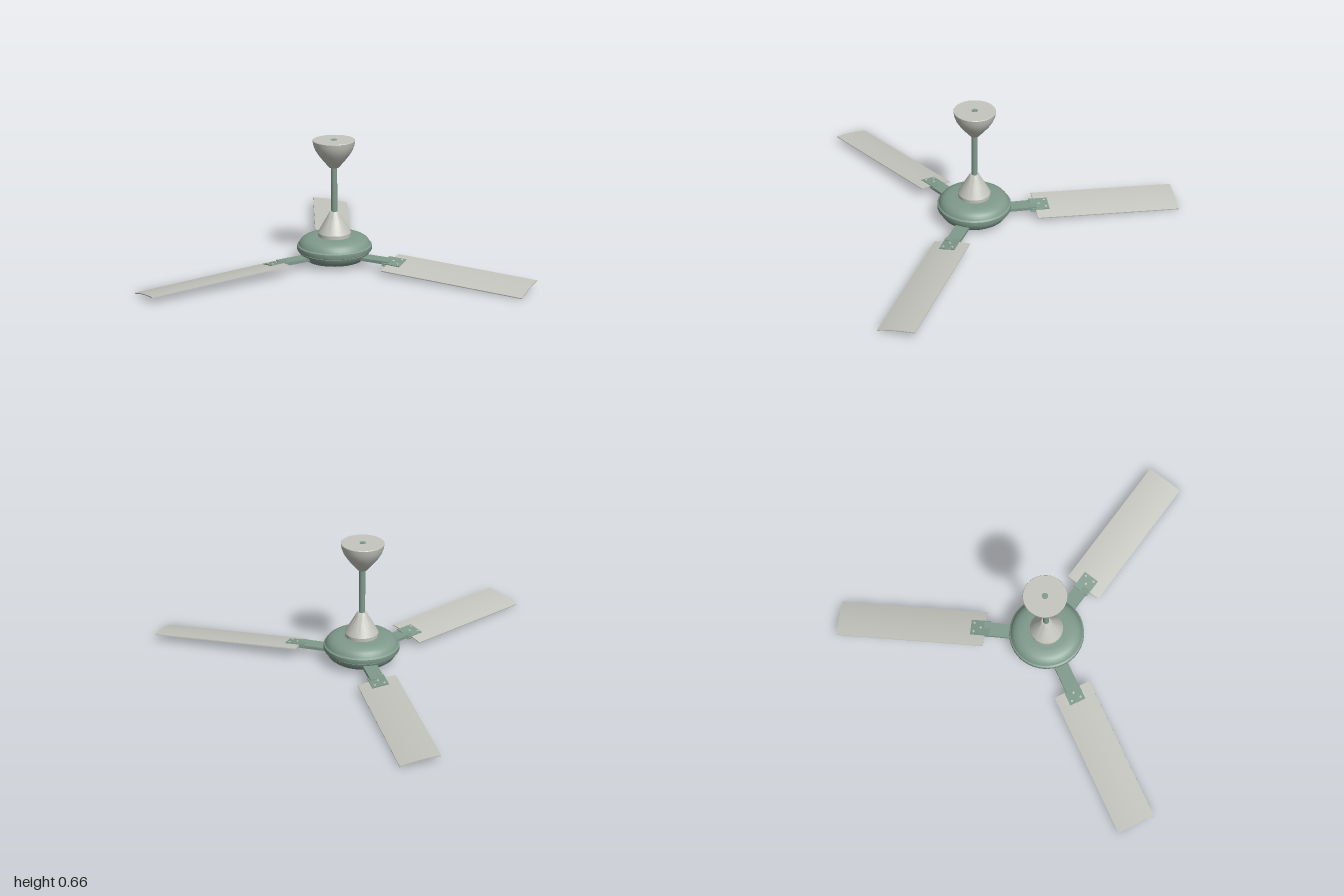
import * as THREE from 'three';
import { toCreasedNormals } from 'three/addons/utils/BufferGeometryUtils.js';

export function createModel() {
  const grey = new THREE.MeshStandardMaterial({ name: 'pale grey', color: 0xc4c5be });
  const green = new THREE.MeshStandardMaterial({ name: 'sage green', color: 0x7f9a8c });
  const dark = new THREE.MeshStandardMaterial({ name: 'dark green', color: 0x4f6258 });

  const fan = new THREE.Group();
  fan.name = 'ceilingFan';

  function add(parent, name, geometry, material, x = 0, y = 0, z = 0) {
    const mesh = new THREE.Mesh(geometry, material);
    mesh.name = name;
    mesh.position.set(x, y, z);
    parent.add(mesh);
    return mesh;
  }

  // Turned part from [radius, height] pairs, bottom to top
  function turned(name, profile, material) {
    const points = profile.map(([r, y]) => new THREE.Vector2(r, y));
    const geometry = toCreasedNormals(new THREE.LatheGeometry(points, 48), 0.5);
    return add(rotor, name, geometry, material);
  }

  // Everything turns about the axis of the rod
  const rotor = new THREE.Group();
  rotor.name = 'fanBody';
  rotor.position.x = -0.235;
  fan.add(rotor);

  // Motor housing: lower bowl, seam, upper shell
  turned('lowerHousing', [
    [0, 0.008], [0.07, 0.009], [0.125, 0.013], [0.15, 0.021], [0.17, 0.036],
    [0.182, 0.055], [0.186, 0.066], [0.18, 0.066],
  ], green);
  turned('housingSeam', [[0.18, 0.064], [0.18, 0.074]], dark);
  turned('upperHousing', [
    [0.18, 0.072], [0.194, 0.072], [0.196, 0.078], [0.195, 0.096], [0.187, 0.102],
    [0.183, 0.112], [0.174, 0.124], [0.16, 0.134], [0.14, 0.141], [0.11, 0.144], [0, 0.145],
  ], green);

  // Cover on the motor, rod and ceiling cup
  turned('lowerCanopy', [
    [0.085, 0.14], [0.086, 0.163], [0.08, 0.174], [0.066, 0.2], [0.05, 0.228],
    [0.035, 0.254], [0.026, 0.272], [0.023, 0.276], [0, 0.276],
  ], grey);
  add(rotor, 'rod', new THREE.CylinderGeometry(0.016, 0.016, 0.518, 24), green, 0, 0.4, 0);
  turned('ceilingCanopy', [
    [0, 0.511], [0.024, 0.511], [0.03, 0.517], [0.055, 0.546], [0.08, 0.578],
    [0.097, 0.605], [0.106, 0.63], [0.11, 0.654], [0.108, 0.657], [0, 0.657],
  ], grey);

  // Cambered blade
  const bladeGeometry = new THREE.BoxGeometry(0.775, 0.005, 0.2, 1, 1, 10);
  const p = bladeGeometry.attributes.position;
  for (let i = 0; i < p.count; i++) {
    const t = p.getZ(i) / 0.1;
    p.setY(i, p.getY(i) + 0.006 * (1 - t * t) - 0.002);
  }
  bladeGeometry.computeVertexNormals();

  const armGeometry = new THREE.BoxGeometry(0.19, 0.016, 0.074);
  const plateGeometry = new THREE.BoxGeometry(0.1, 0.004, 0.086);
  const screwGeometry = new THREE.CylinderGeometry(0.006, 0.006, 0.024, 10);

  // Three blades, each pitched and drooping slightly
  for (let i = 0; i < 3; i++) {
    const assembly = new THREE.Group();
    assembly.name = 'bladeAssembly' + (i + 1);
    assembly.rotation.y = (i * Math.PI * 2) / 3;
    rotor.add(assembly);

    add(assembly, 'bladeArm', armGeometry, green, 0.235, 0.049, 0);

    const pitched = new THREE.Group();
    pitched.name = 'pitchedBlade';
    pitched.position.set(0.7125, 0.033, 0);
    pitched.rotation.set(0.174, 0, -0.033);
    assembly.add(pitched);

    add(pitched, 'blade', bladeGeometry, grey);
    for (const side of [1, -1]) {
      add(pitched, 'clampPlate', plateGeometry, green, -0.363, 0.003 + side * 0.006, 0);
    }
    // Screws through the clamp
    for (const [x, z] of [[-0.33, 0.025], [-0.33, -0.025], [-0.365, 0]]) {
      add(pitched, 'screw', screwGeometry, grey, x, 0.003, z);
    }
  }

  return fan;
}
